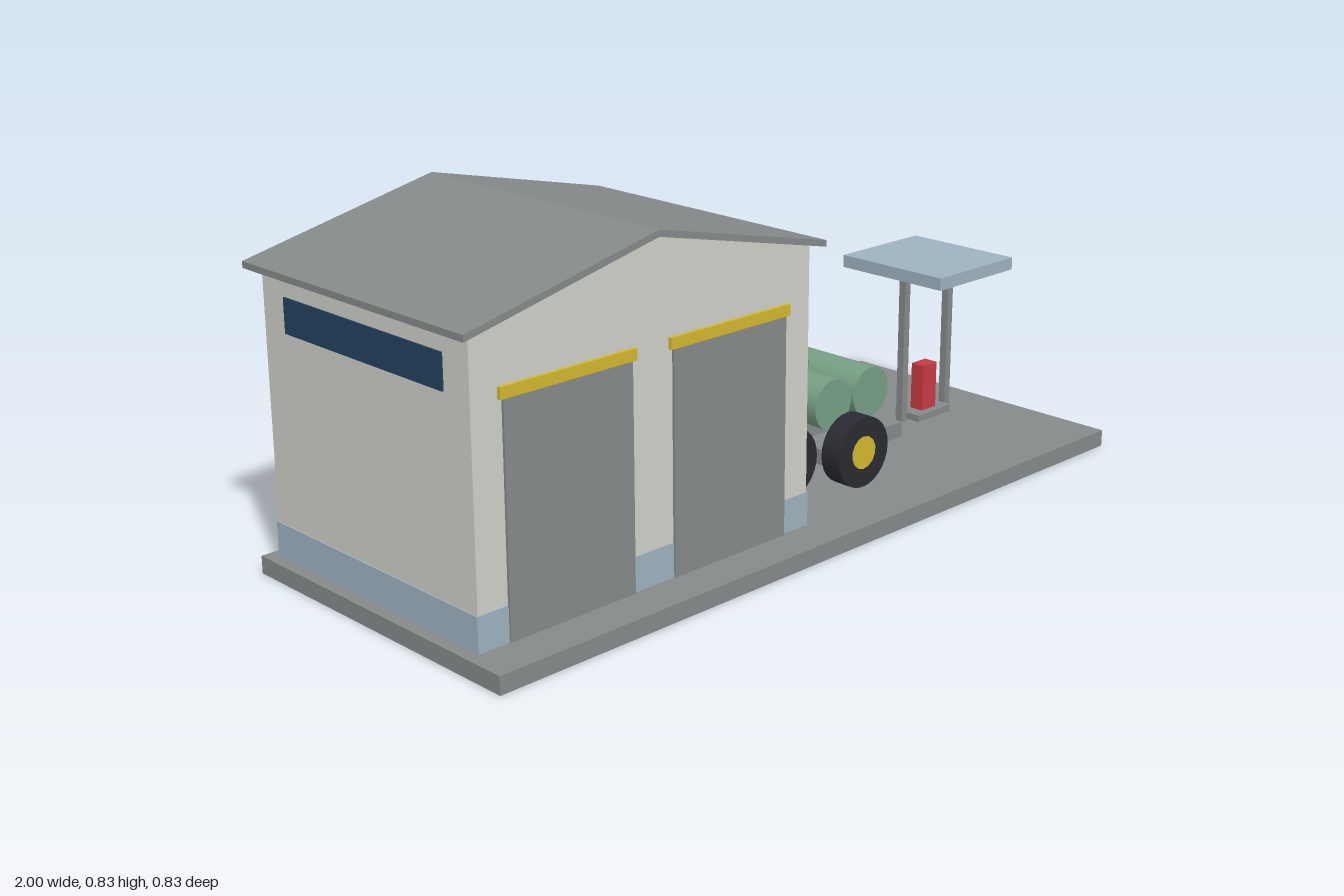
import * as THREE from 'three';

const paint = (name, color) => {
  const m = new THREE.MeshStandardMaterial({ color });
  m.name = name;
  return m;
};

export function createModel() {
  const grey = paint('concrete grey', 0x868989);
  const wall = paint('wall off-white', 0xcfcfc9);
  const blueGrey = paint('pale blue grey', 0x9db2bf);
  const glass = paint('window blue', 0x21425e);
  const yellow = paint('yellow', 0xd2b72e);
  const green = paint('tank green', 0x769f84);
  const red = paint('pump red', 0xc63a43);
  const rubber = paint('tyre black', 0x2a2a32);

  const model = new THREE.Group();
  model.name = 'depot';

  const add = (name, geometry, material, parent = model) => {
    const mesh = new THREE.Mesh(geometry, material);
    mesh.name = name;
    parent.add(mesh);
    return mesh;
  };
  // Box given by its limits on each axis
  const box = (name, material, x0, x1, y0, y1, z0, z1, parent) => {
    const g = new THREE.BoxGeometry(x1 - x0, y1 - y0, z1 - z0);
    g.translate((x0 + x1) / 2, (y0 + y1) / 2, (z0 + z1) / 2);
    return add(name, g, material, parent);
  };
  // Outline in x and y, extruded from z0 to z1
  const prism = (name, material, points, z0, z1, parent) => {
    const shape = new THREE.Shape(points.map(([x, y]) => new THREE.Vector2(x, y)));
    const g = new THREE.ExtrudeGeometry(shape, { depth: z1 - z0, bevelEnabled: false });
    g.translate(0, 0, z0);
    return add(name, g, material, parent);
  };
  // Cylinder lying along z
  const drum = (name, material, x, y, r, z0, z1, sides, parent) => {
    const g = new THREE.CylinderGeometry(r, r, z1 - z0, sides);
    g.rotateX(Math.PI / 2).translate(x, y, (z0 + z1) / 2);
    return add(name, g, material, parent);
  };
  const group = (name) => {
    const g = new THREE.Group();
    g.name = name;
    model.add(g);
    return g;
  };

  const floor = 0.042;
  box('groundSlab', grey, -1, 1, 0, floor, -0.415, 0.415);

  // Main hall with gabled roof
  const hall = group('hall');
  const mid = -0.492;
  prism('hallWalls', wall, [[-0.967, floor], [-0.016, floor], [-0.016, 0.705], [mid, 0.813], [-0.967, 0.705]],
    -0.388, 0.31, hall);
  prism('hallRoof', grey, [[-0.997, 0.7], [mid, 0.813], [0.011, 0.7], [0.011, 0.715], [mid, 0.828], [-0.997, 0.715]],
    -0.415, 0.336, hall);
  box('plinth', blueGrey, -0.97, -0.013, floor, 0.123, -0.391, 0.312, hall);
  for (const x of [-0.72, -0.264]) {
    box('rollerDoor', grey, x - 0.17, x + 0.17, floor, 0.56, 0.308, 0.316, hall);
    box('doorLintel', yellow, x - 0.18, x + 0.18, 0.559, 0.585, 0.309, 0.319, hall);
  }
  for (const x of [-0.968, -0.015])
    box('sideWindow', glass, x - 0.003, x + 0.003, 0.572, 0.652, -0.308, 0.23, hall);

  // Lean-to office
  const office = group('office');
  prism('officeWalls', wall, [[-0.016, floor], [0.21, floor], [0.21, 0.325], [-0.016, 0.373]], -0.388, 0.067, office);
  prism('officeRoof', grey, [[-0.016, 0.371], [0.232, 0.318], [0.232, 0.332], [-0.016, 0.385]], -0.408, 0.087, office);
  box('officeFrontWindow', glass, 0.03, 0.175, 0.122, 0.197, 0.065, 0.071, office);
  box('officeSideWindow', glass, 0.207, 0.213, 0.122, 0.197, -0.34, -0.163, office);
  box('officeDoor', grey, 0.207, 0.213, floor, 0.192, -0.078, -0.005, office);

  // Pair of storage tanks on saddles
  const tanks = group('storageTanks');
  box('tankPlinth', grey, 0.295, 0.595, floor, 0.082, -0.401, 0.079, tanks);
  for (const x of [0.375, 0.516]) {
    drum('tank', green, x, 0.172, 0.066, -0.361, 0.04, 32, tanks);
    for (const z of [-0.295, -0.025])
      box('tankSaddle', grey, x - 0.045, x + 0.045, 0.082, 0.128, z - 0.017, z + 0.017, tanks);
  }

  // Two upright wheels
  const wheels = group('looseWheels');
  for (const [x, z] of [[0.078, 0.149], [0.259, 0.215]]) {
    drum('tyre', rubber, x, 0.129, 0.088, z - 0.028, z + 0.028, 28, wheels);
    drum('rim', yellow, x, 0.129, 0.041, z - 0.03, z + 0.03, 14, wheels);
  }

  // Fuel point with canopy
  const fuel = group('fuelPoint');
  box('canopy', blueGrey, 0.63, 0.92, 0.44, 0.472, -0.161, 0.163, fuel);
  for (const x of [0.688, 0.863])
    box('canopyPost', grey, x - 0.01, x + 0.01, floor, 0.44, -0.01, 0.01, fuel);
  box('pumpBase', grey, 0.71, 0.84, floor, 0.06, -0.039, 0.04, fuel);
  box('pump', red, 0.748, 0.802, 0.06, 0.183, -0.019, 0.02, fuel);

  return model;
}
